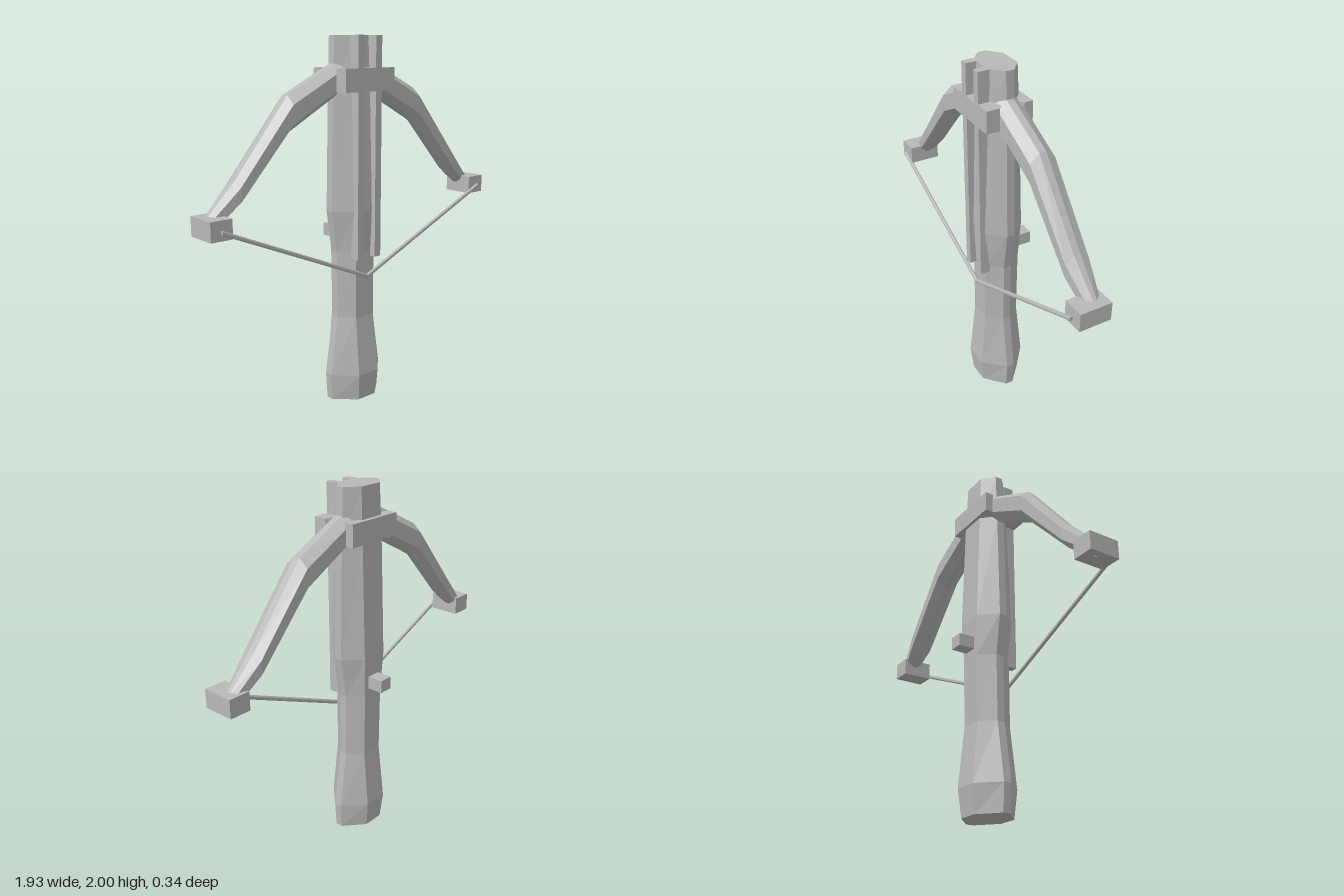
import * as THREE from 'three';

const grey = new THREE.MeshStandardMaterial({ color: 0xb8b8b8, flatShading: true });
grey.name = 'plain grey';

// Long-octagon ring: half sizes A, B, flats of half length fa and fb
const octagon = (A, B, fa, fb) => [
  [A, fb], [fa, B], [-fa, B], [-A, fb], [-A, -fb], [-fa, -B], [fa, -B], [A, -fb],
];

// Skins a list of equal rings of points and caps both ends
function loft(rings) {
  const n = rings[0].length, last = rings.length - 1, pos = [];
  const tri = (a, b, c) => pos.push(...a, ...b, ...c);
  for (let i = 0; i < last; i++) {
    for (let j = 0; j < n; j++) {
      const k = (j + 1) % n;
      tri(rings[i][j], rings[i][k], rings[i + 1][k]);
      tri(rings[i][j], rings[i + 1][k], rings[i + 1][j]);
    }
  }
  for (let j = 1; j < n - 1; j++) {
    tri(rings[0][0], rings[0][j + 1], rings[0][j]);
    tri(rings[last][0], rings[last][j], rings[last][j + 1]);
  }
  const g = new THREE.BufferGeometry();
  g.setAttribute('position', new THREE.Float32BufferAttribute(pos, 3));
  g.computeVertexNormals();
  return g;
}

export function createModel() {
  const model = new THREE.Group();
  model.name = 'crossbow';
  const add = (name, geometry) => {
    const mesh = new THREE.Mesh(geometry, grey);
    mesh.name = name;
    model.add(mesh);
    return mesh;
  };
  // Box given by its limits on each axis
  const box = (name, [x0, x1], [y0, y1], [z0, z1]) =>
    add(name, new THREE.BoxGeometry(x1 - x0, y1 - y0, z1 - z0))
      .position.set((x0 + x1) / 2, (y0 + y1) / 2, (z0 + z1) / 2);

  // Stock: y, half width, back z, front z, half width of the front face
  const stock = [
    [0, 0.17, -0.09, 0.15, 0.06],
    [0.15, 0.18, -0.107, 0.165, 0.07],
    [0.48, 0.13, -0.075, 0.13, 0.063],
    [0.85, 0.13, -0.08, 0.128, 0.065],
    [1.08, 0.165, -0.09, 0.14, 0.078],
    [1.7, 0.15, -0.072, 0.12, 0.075],
    [2, 0.14, -0.06, 0.105, 0.07],
  ];
  add('stock', loft(stock.map(([y, w, z0, z1, f]) =>
    octagon((z1 - z0) / 2, w, 0.022, f).map(([z, x]) => [x, y, z + (z0 + z1) / 2]))));

  // Bow: x, bottom y, top y, half depth
  const limb = [
    [0.12, 1.70, 1.868, 0.07],
    [0.445, 1.525, 1.71, 0.07],
    [0.76, 1.188, 1.325, 0.065],
    [0.925, 1.06, 1.155, 0.035],
  ];
  const bow = [...limb.map(([x, ...r]) => [-x, ...r]).reverse(), ...limb];
  add('bow', loft(bow.map(([x, y0, y1, d]) => {
    const h = (y1 - y0) / 2;
    return octagon(h, d, h * 0.52, d * 0.27).map(([y, z]) => [x, y + (y0 + y1) / 2, z + 0.025]);
  })));

  // String: slack line drawn to the middle, in front of the stock
  add('bowstring', loft([[-0.91, 1.108], [0, 0.715], [0.91, 1.108]].map(([x, y]) =>
    octagon(0.012, 0.009, 0.006, 0.004).map(([a, b]) => [x, y + a, b + 0.148]))));

  // Bracket plates clamping the bow, bevelled towards the stock
  const plate = (name, outer, edge, inner) => {
    const pts = [[-0.17, outer], [0.17, outer], [0.17, edge], [0.1, inner], [-0.1, inner], [-0.17, edge]];
    const shape = new THREE.Shape(pts.map(([x, z]) => new THREE.Vector2(x, -z)));
    const g = new THREE.ExtrudeGeometry(shape, { depth: 0.12, bevelEnabled: false });
    add(name, g.rotateX(-Math.PI / 2).translate(0, 1.715, 0));
  };
  plate('frontBracket', 0.168, 0.095, 0.05);
  plate('backBracket', -0.09, -0.04, 0);

  // Rails and bow tip blocks, one on each side
  for (const [side, s] of [['left', 1], ['right', -1]]) {
    const span = (a, b) => (s > 0 ? [a, b] : [-b, -a]);
    box(side + 'Rail', span(0.04, 0.082), [0.82, 2], [0.1, 0.165]);
    box(side + 'TipBlock', span(0.845, 0.965), [1.065, 1.165], [-0.038, 0.138]);
  }

  // Trigger at the back
  box('trigger', [-0.04, 0.04], [0.895, 0.965], [-0.175, -0.07]);

  return model;
}
